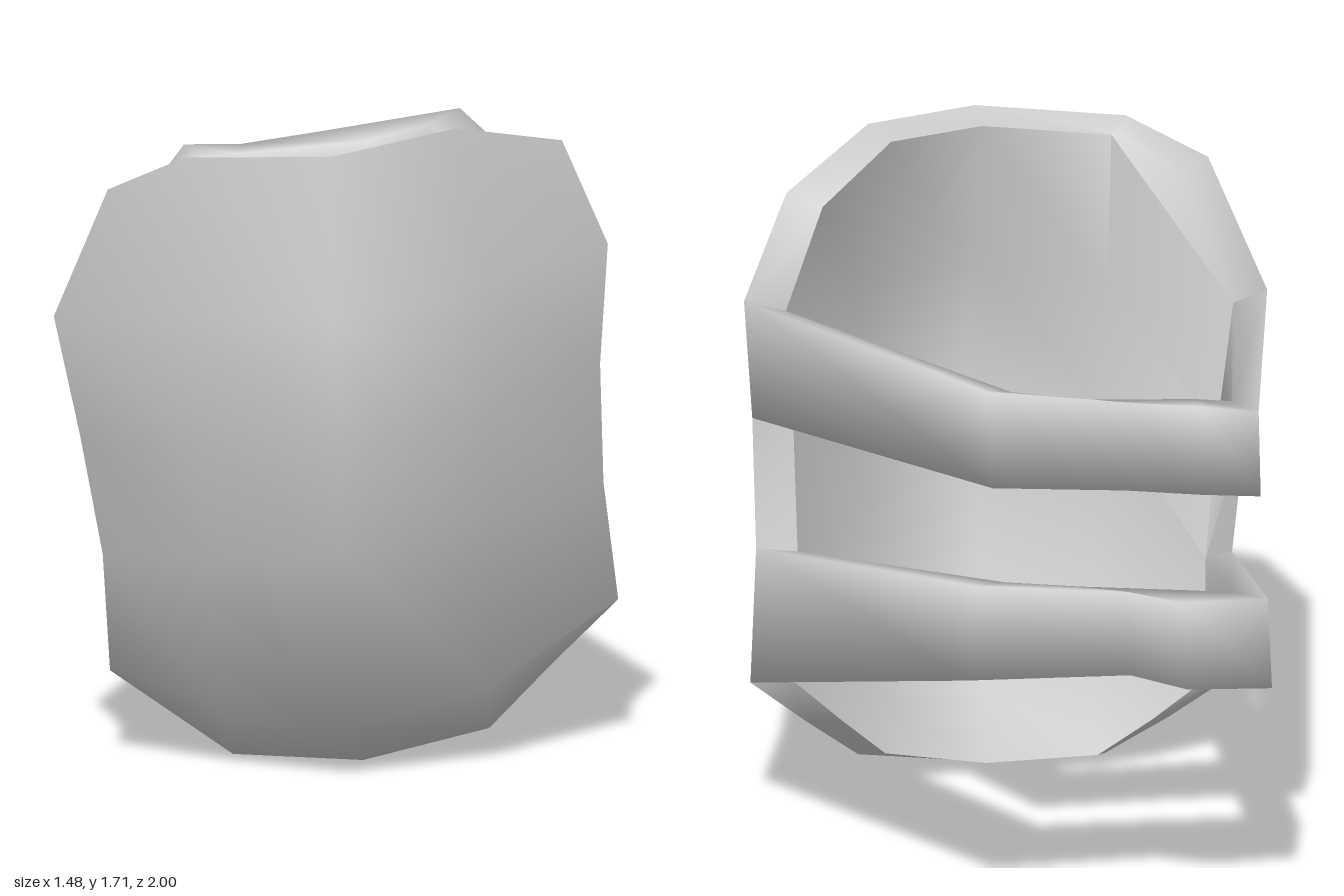
import * as THREE from 'three';
import { toCreasedNormals } from 'three/addons/utils/BufferGeometryUtils.js';

const V = (p) => new THREE.Vector3(...p);

// Collects quads (corners counter-clockwise from outside) into one creased mesh
function quadMesh(name, quads, material, crease) {
  const points = quads.flatMap(([a, b, c, d]) => [a, b, c, a, c, d].map(V));
  const geometry = new THREE.BufferGeometry().setFromPoints(points);
  const mesh = new THREE.Mesh(toCreasedNormals(geometry, crease), material);
  mesh.name = name;
  return mesh;
}

// Outer plate surface: rows from top to bottom, columns from -x to +x
const plateRows = [
  [[-0.6, 1.55, 0.67], [-0.4, 1.65, 0.76], [-0.02, 1.67, 0.87], [0.31, 1.71, 0.67], [0.59, 1.63, 0.4]],
  [[-0.74, 1.2, 0.59], [-0.39, 1.22, 0.77], [-0.01, 1.25, 0.97], [0.4, 1.3, 0.7], [0.71, 1.35, 0.37]],
  [[-0.67, 0.87, 0.52], [-0.37, 0.89, 0.77], [0, 0.92, 1], [0.4, 0.97, 0.71], [0.69, 1.03, 0.36]],
  [[-0.61, 0.54, 0.43], [-0.34, 0.57, 0.72], [0, 0.6, 0.88], [0.4, 0.65, 0.64], [0.7, 0.7, 0.27]],
  [[-0.59, 0.22, 0.36], [-0.3, 0.14, 0.56], [0.02, 0.13, 0.74], [0.4, 0.2, 0.53], [0.74, 0.37, 0.16]],
  [[-0.43, 0.115, 0.38], [-0.27, 0.01, 0.43], [0.07, 0, 0.47], [0.4, 0.07, 0.39], [0.57, 0.22, 0.25]],
];

// Matching point on the inner plate surface
const inset = ([x, y, z]) => [x * 0.86, 0.85 + (y - 0.85) * 0.97, z - 0.1 + 0.06 * Math.abs(x)];

function plate(material) {
  const quads = [];
  const R = plateRows.length - 1, C = plateRows[0].length - 1;
  for (let r = 0; r < R; r++) {
    for (let c = 0; c < C; c++) {
      const q = [plateRows[r][c], plateRows[r + 1][c], plateRows[r + 1][c + 1], plateRows[r][c + 1]];
      quads.push(q, q.map(inset).reverse());
    }
  }
  // Rim joining the two surfaces around the outline
  const loop = [];
  for (let r = 0; r < R; r++) loop.push(plateRows[r][0]);
  for (let c = 0; c < C; c++) loop.push(plateRows[R][c]);
  for (let r = R; r > 0; r--) loop.push(plateRows[r][C]);
  for (let c = C; c > 0; c--) loop.push(plateRows[0][c]);
  loop.forEach((p, i) => {
    const q = loop[(i + 1) % loop.length];
    quads.push([p, inset(p), inset(q), q]);
  });
  return quadMesh('guardPlate', quads, material, 1.25);
}

// Strap from the +x plate edge round the back to the -x edge, softly shaded;
// each section is outer top, outer bottom, inner bottom, inner top
function strap(name, row, backSections, material) {
  const end = (c) => {
    const top = plateRows[row][c], bottom = plateRows[row + 1][c];
    return [top, bottom, inset(bottom), inset(top)];
  };
  const rings = [end(4), ...backSections, end(0)];
  const quads = [];
  for (let k = 0; k < rings.length - 1; k++) {
    for (let j = 0; j < 4; j++) {
      const n = (j + 1) % 4;
      quads.push([rings[k][j], rings[k][n], rings[k + 1][n], rings[k + 1][j]]);
    }
  }
  return quadMesh(name, quads, material, 2.2);
}

export function createModel() {
  const grey = new THREE.MeshStandardMaterial({ color: 0xcccccc });
  grey.name = 'lightGrey';
  const group = new THREE.Group();
  group.name = 'limbGuard';

  group.add(plate(grey));
  group.add(strap('upperStrap', 1, [
    [[0.34, 1.49, -0.88], [0.33, 1.23, -0.9], [0.25, 1.21, -0.81], [0.26, 1.46, -0.81]],
    [[-0.03, 1.43, -0.87], [-0.03, 1.19, -0.88], [0.1, 1.18, -0.79], [0.1, 1.42, -0.79]],
    [[-0.23, 1.4, -0.86], [-0.23, 1.16, -0.87], [-0.24, 1.16, -0.77], [-0.24, 1.39, -0.77]],
    [[-0.38, 1.39, -0.91], [-0.39, 1.15, -0.89], [-0.33, 1.15, -0.78], [-0.34, 1.38, -0.78]],
  ], grey));
  group.add(strap('lowerStrap', 3, [
    [[0.38, 0.97, -0.92], [0.41, 0.72, -0.945], [0.28, 0.71, -0.84], [0.28, 0.94, -0.82]],
    [[-0.03, 0.92, -0.91], [-0.03, 0.7, -0.94], [0.08, 0.69, -0.84], [0.08, 0.91, -0.81]],
    [[-0.17, 0.89, -0.94], [-0.17, 0.67, -1], [-0.23, 0.66, -0.87], [-0.22, 0.88, -0.82]],
    [[-0.4, 0.88, -0.93], [-0.4, 0.65, -0.98], [-0.32, 0.65, -0.86], [-0.33, 0.86, -0.8]],
  ], grey));
  return group;
}
